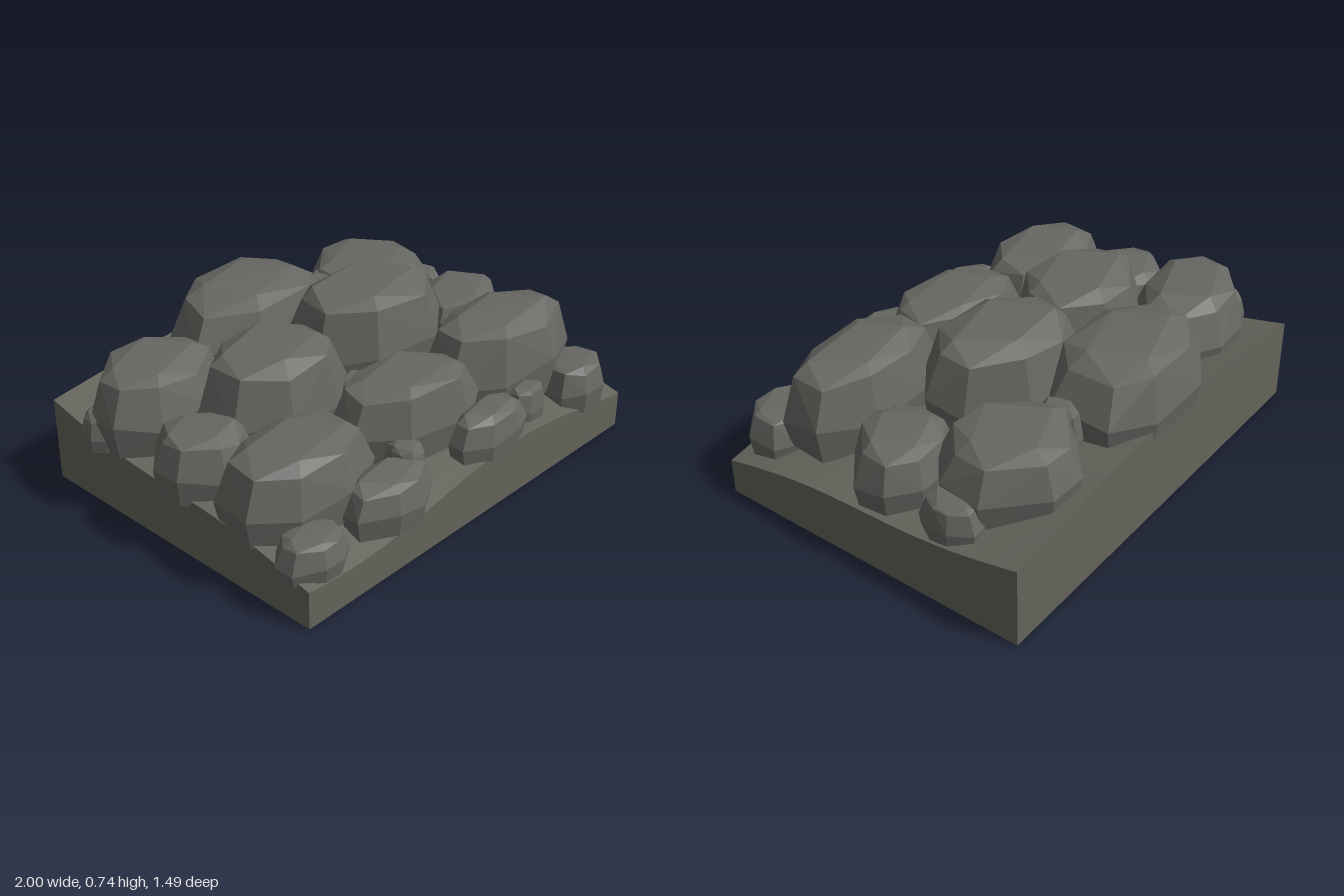
import * as THREE from 'three';
import { ConvexGeometry } from 'three/addons/geometries/ConvexGeometry.js';

const stone = new THREE.MeshStandardMaterial({ color: 0x666662 });
stone.name = 'grey stone';
const earth = new THREE.MeshStandardMaterial({ color: 0x64645c });
earth.name = 'dark earth';

// Small seeded generator for the facet irregularity
let seed = 7;
const rand = () => (seed = (seed * 16807) % 2147483647) / 2147483647;
const vary = (amount) => (rand() * 2 - 1) * amount;

// Height of the ground: a wave along the front rising to a hump at the back
function groundHeight(x, z) {
  const t = (0.72 - z) / 1.455;
  const f = t + 0.12 * Math.sin(2 * Math.PI * t);
  const front = 0.203 + 0.053 * Math.sin(3.3 * (x + 0.225));
  const back = 0.367 + 0.075 * Math.cos(1.6 * x);
  return front + (back - front) * f;
}

// Solid block with a wavy top
function makeGround() {
  const geo = new THREE.BoxGeometry(1.94, 1, 1.455, 28, 1, 20);
  geo.translate(0.03, 0.5, -0.0075);
  const p = geo.attributes.position;
  for (let i = 0; i < p.count; i++) {
    if (p.getY(i) > 0.5) p.setY(i, groundHeight(p.getX(i), p.getZ(i)));
  }
  geo.computeVertexNormals();
  const mesh = new THREE.Mesh(geo, earth);
  mesh.name = 'ground';
  return mesh;
}

// Faceted rock sunk into the ground: the hull of an eight-sided foot, a wide
// waist, a shoulder and a flattish four-cornered cap. Skew slants the outline.
function makeRock(name, x, z, rx, rz, skew, top) {
  const foot = groundHeight(x, z) - 0.03;
  const waist = foot + (top - foot) * 0.4;
  const rise = top - waist;
  const reach = 1 / Math.cos(Math.PI / 8);
  const points = [];
  for (let i = 0; i < 8; i++) {
    const a = ((i + 0.5 + vary(0.2)) / 8) * Math.PI * 2;
    const dx = Math.cos(a) * rx * reach;
    const dz = Math.sin(a) * rz * reach + dx * skew;
    const add = (scale, y) => points.push(new THREE.Vector3(x + dx * scale, y, z + dz * scale));
    add(0.92, foot);
    add(1, waist + vary(0.12) * rise);
    add(0.8 + vary(0.03), top - rise * (0.23 + vary(0.08)));
    if (i % 2 === 0) add(0.6 + vary(0.06), top - rise * 0.06 * rand());
  }
  const mesh = new THREE.Mesh(new ConvexGeometry(points), stone);
  mesh.name = name;
  return mesh;
}

export function createModel() {
  const model = new THREE.Group();
  model.name = 'rockPile';
  model.add(makeGround());

  // Boulders: x, z, half width, half depth, skew, top
  model.add(
    makeRock('centreBoulder', 0.21, -0.065, 0.34, 0.25, 0.12, 0.745),
    makeRock('middleRightBoulder', -0.37, -0.04, 0.31, 0.24, 0.03, 0.685),
    makeRock('backCentreBoulder', -0.06, -0.49, 0.38, 0.26, -0.03, 0.71),
    makeRock('backLeftBoulder', 0.6, -0.41, 0.28, 0.26, 0.04, 0.62),
    makeRock('backRightBoulder', -0.67, -0.4, 0.3, 0.22, -0.1, 0.61),
    makeRock('outerRightBoulder', -0.79, 0, 0.19, 0.19, 0, 0.5),
    makeRock('outerLeftBoulder', 0.77, -0.01, 0.22, 0.19, -0.05, 0.54),
    makeRock('frontRightBoulder', -0.64, 0.365, 0.33, 0.21, 0.05, 0.54),
    makeRock('frontCentreBoulder', -0.05, 0.39, 0.31, 0.2, 0.12, 0.59),
    makeRock('frontLeftBoulder', 0.55, 0.385, 0.36, 0.21, 0.03, 0.64)
  );

  // Small rocks along the front
  model.add(
    makeRock('frontRock1', -0.81, 0.61, 0.15, 0.11, 0, 0.31),
    makeRock('frontRock2', -0.4, 0.62, 0.21, 0.12, 0, 0.385),
    makeRock('frontRock3', 0.17, 0.64, 0.2, 0.1, 0, 0.43),
    makeRock('frontRock4', 0.45, 0.62, 0.1, 0.06, 0, 0.4),
    makeRock('frontRock5', 0.79, 0.61, 0.16, 0.13, -0.1, 0.39),
    makeRock('frontRock6', -0.24, 0.56, 0.08, 0.09, 0, 0.41)
  );

  // Small rocks at the sides and wedged between the boulders
  model.add(
    makeRock('sideRockRight', -0.92, -0.45, 0.08, 0.08, 0, 0.44),
    makeRock('sideRockLeft', 0.9, -0.36, 0.09, 0.13, 0, 0.45),
    makeRock('wedgedRockBack', 0.35, -0.44, 0.08, 0.1, 0, 0.58),
    makeRock('wedgedRockLeft', 0.62, 0.1, 0.09, 0.1, 0, 0.46),
    makeRock('wedgedRockCentre', -0.05, 0.13, 0.1, 0.08, 0, 0.46),
    makeRock('wedgedRockRight', -0.38, -0.29, 0.1, 0.08, 0, 0.52)
  );

  return model;
}
